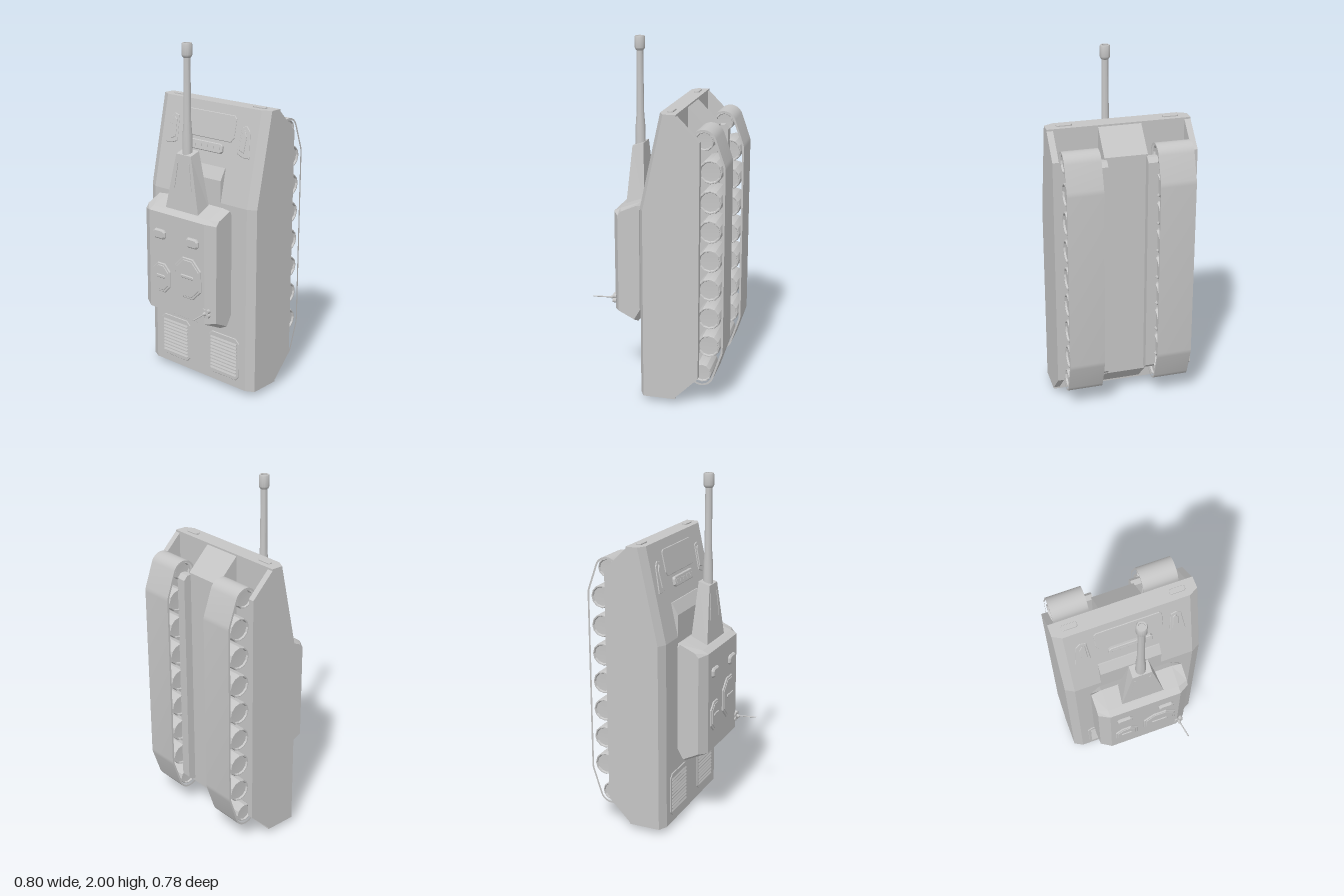
import * as THREE from 'three';
import { toCreasedNormals } from 'three/addons/utils/BufferGeometryUtils.js';

const armour = new THREE.MeshStandardMaterial({ color: 0xc5c5c5 });
armour.name = 'light grey armour';

function add(parent, name, geometry, x = 0, y = 0, z = 0) {
  const mesh = new THREE.Mesh(geometry, armour);
  mesh.name = name;
  mesh.position.set(x, y, z);
  parent.add(mesh);
  return mesh;
}

// Flat-faced convex solid through equal-length loops of [x, y, z], capped at both ends
function loft(loops) {
  const tris = [];
  const n = loops[0].length;
  for (let s = 0; s + 1 < loops.length; s++) {
    for (let i = 0; i < n; i++) {
      const j = (i + 1) % n, [a, b] = [loops[s], loops[s + 1]];
      tris.push([a[i], a[j], b[j]], [a[i], b[j], b[i]]);
    }
  }
  const last = loops[loops.length - 1];
  for (let i = 1; i + 1 < n; i++) {
    tris.push([loops[0][0], loops[0][i + 1], loops[0][i]], [last[0], last[i], last[i + 1]]);
  }
  let volume = 0;
  const [a, b, c] = [0, 1, 2].map(() => new THREE.Vector3());
  for (const t of tris) volume += a.fromArray(t[0]).dot(b.fromArray(t[1]).cross(c.fromArray(t[2])));
  if (volume < 0) tris.forEach((t) => t.reverse());
  const g = new THREE.BufferGeometry();
  g.setAttribute('position', new THREE.Float32BufferAttribute(tris.flat(2), 3));
  g.computeVertexNormals();
  return g;
}

// Side profile of [z, y] points carried from x0 to x1
const slab = (x0, x1, profile) =>
  loft([x0, x1].map((x) => profile.map(([z, y]) => [x, y, z])));

// Plate facing +z with a small bevelled rim
function plate(points, depth, bevel = 0.004) {
  const shape = new THREE.Shape(points.map(([x, y]) => new THREE.Vector2(x, y)));
  return new THREE.ExtrudeGeometry(shape, {
    depth: depth - bevel, bevelEnabled: true, bevelThickness: bevel, bevelSize: bevel,
    bevelOffset: -bevel, bevelSegments: 1,
  });
}

// Rectangle with cut corners
function cutRect(w, h, c) {
  const [x, y] = [w / 2, h / 2];
  return [[-x + c, -y], [x - c, -y], [x, -y + c], [x, y - c], [x - c, y], [-x + c, y], [-x, y - c], [-x, -y + c]];
}

function buildHull(root) {
  const hull = new THREE.Group();
  hull.name = 'hull';
  root.add(hull);
  const section = (y, deck) => [[-0.4, -0.13], [-0.4, deck - 0.027], [-0.35, deck], [0.35, deck],
    [0.4, deck - 0.027], [0.4, -0.13]].map(([x, z]) => [x, y, z]);
  add(hull, 'upper hull', loft([section(0.03, 0.08), section(1.12, 0.08), section(1.65, -0.035)]));
  const keel = [[-0.12, 0.03], [-0.26, 0.17], [-0.26, 1.51], [-0.12, 1.65]];
  add(hull, 'belly', slab(-0.12, 0.12, keel));
  add(hull, 'left skirt', slab(0.365, 0.4, keel));
  add(hull, 'right skirt', slab(-0.4, -0.365, keel));
  add(hull, 'deck step', slab(-0.195, 0.16, [[0, 1.1], [0.0805, 1.1], [0.0805, 1.245], [0.045, 1.31], [0, 1.31]]));

  // Engine grilles with tilted slats
  for (const s of [-1, 1]) {
    add(hull, 'grille frame', plate(cutRect(0.23, 0.26, 0.025), 0.005, 0.003), s * 0.19, 0.205, 0.08);
    for (let i = 0; i < 10; i++) {
      const slat = add(hull, 'grille slat', new THREE.BoxGeometry(0.196, 0.015, 0.004), s * 0.19, 0.107 + i * 0.0215, 0.085);
      slat.rotation.x = -0.4;
    }
    // End plates
    for (const y of [0.03, 1.65]) {
      const p = add(hull, 'end plate', plate(cutRect(0.086, 0.03, 0.007), 0.008, 0.002), s * 0.297, y, -0.085);
      p.rotation.x = y > 1 ? -Math.PI / 2 : Math.PI / 2;
    }
  }
  add(hull, 'tow knob', new THREE.CylinderGeometry(0.026, 0.022, 0.03, 12), 0.145, 0.015, -0.09);

  // Fittings on the sloped plate
  const slope = Math.atan2(0.115, 0.53);
  const glacis = new THREE.Group();
  glacis.name = 'glacis fittings';
  glacis.position.set(0, 1.12, 0.08);
  glacis.rotation.x = -slope;
  hull.add(glacis);
  const up = (y) => (y - 1.12) / Math.cos(slope);
  add(glacis, 'access panel', plate([[-0.17, -0.075], [0.17, -0.075], [0.19, -0.05], [0.19, 0.06],
    [0.175, 0.075], [-0.175, 0.075], [-0.19, 0.06], [-0.19, -0.05]], 0.005, 0.003), 0, up(1.525), 0);
  add(glacis, 'vision block', plate(cutRect(0.25, 0.055, 0.012), 0.016), 0, up(1.408), 0);
  for (let i = -2; i <= 2; i++) {
    add(glacis, 'vision slot', new THREE.BoxGeometry(0.036, 0.02, 0.004), i * 0.045, up(1.408), 0.017);
  }
  for (const s of [-1, 1]) {
    const outline = [[0.225, 1.4], [0.27, 1.385], [0.315, 1.385], [0.295, 1.53], [0.27, 1.555], [0.235, 1.545]];
    const lens = [[0.24, 1.42], [0.275, 1.41], [0.28, 1.5], [0.262, 1.535], [0.245, 1.52]];
    const place = (pts) => pts.map(([x, y]) => [s * x, up(y)]);
    add(glacis, 'lamp housing', plate(place(outline), 0.005, 0.003));
    add(glacis, 'lamp', plate(place(lens), 0.005, 0.003), 0, 0, 0.005);
  }
}

function buildTrack(root, s) {
  const group = new THREE.Group();
  group.name = s > 0 ? 'left track' : 'right track';
  root.add(group);
  // Belt around four rollers: [outward, height, radius, start angle, end angle]
  const rollers = [[0.27, 1.5, 0.071, 180, 20], [0.307, 1.36, 0.083, 20, 0],
    [0.307, 0.335, 0.083, 0, -20], [0.27, 0.185, 0.071, -20, -180]];
  const loop = (inset) => rollers.flatMap(([u, v, r, a0, a1]) => {
    const steps = Math.ceil(Math.abs(a1 - a0) / 10);
    return Array.from({ length: steps + 1 }, (_, i) => {
      const a = THREE.MathUtils.degToRad(a0 + (a1 - a0) * i / steps);
      return new THREE.Vector2(u + (r - inset) * Math.cos(a), v + (r - inset) * Math.sin(a));
    });
  });
  const shape = new THREE.Shape(loop(0));
  shape.holes.push(new THREE.Path(loop(0.011)));
  const belt = new THREE.ExtrudeGeometry(shape, { depth: 0.2, bevelEnabled: false });
  belt.translate(0, 0, -0.1).rotateY(Math.PI / 2);
  add(group, 'belt', toCreasedNormals(belt, 0.5), s * 0.255, 0, 0);

  // Dished wheels
  for (let i = 0; i < 9; i++) {
    const end = i === 0 || i === 8;
    const r = end ? 0.054 : 0.066;
    const h = 0.094;
    const profile = [[0, -h + 0.012], [r * 0.8, -h + 0.01], [r * 0.87, -h], [r * 0.95, -h], [r, -h + 0.008],
      [r, h - 0.008], [r * 0.95, h], [r * 0.87, h], [r * 0.8, h - 0.01], [0, h - 0.012]];
    const wheel = new THREE.LatheGeometry(profile.map(([x, y]) => new THREE.Vector2(x, y)), 12);
    add(group, 'wheel', toCreasedNormals(wheel.rotateZ(Math.PI / 2), 0.45),
      s * 0.255, 0.185 + i * 0.1655, end ? -0.272 : -0.307);
  }
  const beam = [[-0.25, 0.19], [-0.282, 0.19], [-0.305, 0.215], [-0.305, 1.475], [-0.282, 1.5], [-0.25, 1.5]];
  add(group, 'axle beam', slab(s * 0.11, s * 0.168, beam));
}

function buildTurret(root) {
  const turret = new THREE.Group();
  turret.name = 'turret';
  root.add(turret);
  const ring = new THREE.CylinderGeometry(0.2, 0.2, 0.04, 32).rotateX(Math.PI / 2);
  add(turret, 'turret ring', ring, 0, 0.82, 0.08);

  // Faceted body, narrowing at the cheeks
  const core = [[0.27, 1.05], [0.27, 0.465], [0.135, 0.4], [0.088, 0.49], [0.088, 1.09], [0.12, 1.11], [0.235, 1.068]];
  const cheek = [[0.235, 1.04], [0.235, 0.475], [0.145, 0.43], [0.11, 0.49], [0.11, 1.08], [0.125, 1.105], [0.215, 1.065]];
  const at = (x, p) => p.map(([z, y]) => [x, y, z]);
  add(turret, 'turret body', loft([at(-0.27, cheek), at(-0.21, core), at(0.21, core), at(0.267, cheek)]));
  const vent = add(turret, 'rear vent', plate(cutRect(0.21, 0.03, 0.008), 0.008), 0, 0.425, 0.187);
  vent.rotation.x = Math.PI / 2 - Math.atan2(0.065, 0.135);

  // Hatches with handles
  for (const [x, y, w, h] of [[-0.115, 0.665, 0.136, 0.175], [0.09, 0.71, 0.195, 0.24]]) {
    add(turret, 'hatch rim', plate(cutRect(w, h, w * 0.3), 0.008), x, y, 0.27);
    add(turret, 'hatch lid', plate(cutRect(w - 0.025, h - 0.025, w * 0.27), 0.006, 0.003), x, y, 0.275);
    add(turret, 'hatch handle', plate(cutRect(w * 0.5, 0.02, 0.006), 0.006), x, y + 0.01, 0.28);
  }
  for (const s of [-1, 1]) {
    add(turret, 'sight', plate(cutRect(0.09, 0.056, 0.014), 0.016, 0.008), s * 0.125, 0.925, 0.27);
  }

  // Antenna
  for (const [dx, dy] of [[-1, -1], [1, -1], [-1, 1], [1, 1]]) {
    const bolt = new THREE.CylinderGeometry(0.013, 0.013, 0.02, 10).rotateX(Math.PI / 2);
    add(turret, 'antenna foot', bolt, 0.22 + dx * 0.013, 0.535 + dy * 0.013, 0.268);
  }
  const whip = new THREE.LineCurve3(new THREE.Vector3(0.22, 0.535, 0.275), new THREE.Vector3(0.24, 0.538, 0.393));
  add(turret, 'antenna socket', new THREE.CylinderGeometry(0.008, 0.013, 0.03, 10).rotateX(Math.PI / 2), 0.22, 0.535, 0.28);
  add(turret, 'antenna', new THREE.TubeGeometry(whip, 1, 0.004, 8));

  // Gun mantlet
  const rect = (y0, y1, x0, x1, z0, z1) => [[-x0, y0, z0], [x0, y0, z0], [x1, y1, z1], [-x1, y1, z1]];
  add(turret, 'mantlet', loft([rect(1.06, 1.04, 0.12, 0.13, 0.122, 0.227), rect(1.41, 1.39, 0.055, 0.055, 0.142, 0.207)]));
  for (const s of [-1, 1]) {
    const rib = add(turret, 'mantlet rib', new THREE.BoxGeometry(0.01, 0.15, 0.01), s * 0.053, 1.27, 0.212);
    rib.rotation.set(-0.05, 0, s * 0.14);
  }

  // Gun
  const gun = [[0, 1.38], [0.029, 1.38], [0.027, 1.5], [0.021, 1.58], [0.019, 1.92], [0.024, 1.925],
    [0.029, 1.935], [0.029, 1.992], [0.026, 2], [0.018, 2], [0.018, 1.99], [0, 1.99]];
  const barrel = new THREE.LatheGeometry(gun.map(([x, y]) => new THREE.Vector2(x, y)), 20);
  add(turret, 'gun barrel', toCreasedNormals(barrel, 0.5), 0, 0, 0.175);
}

export function createModel() {
  const root = new THREE.Group();
  root.name = 'tank';
  buildHull(root);
  buildTrack(root, 1);
  buildTrack(root, -1);
  buildTurret(root);
  return root;
}
